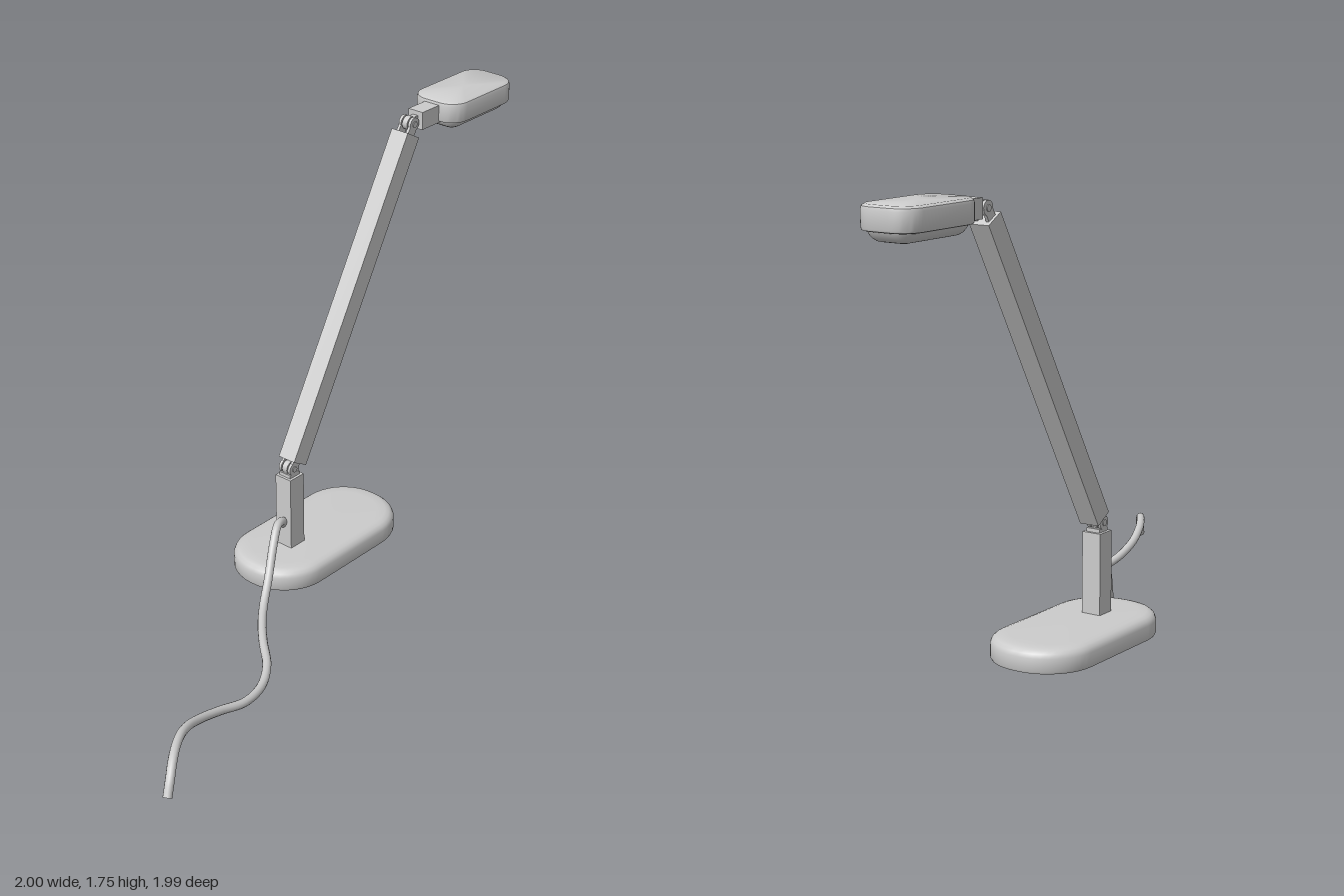
import * as THREE from 'three';
import { toCreasedNormals } from 'three/addons/utils/BufferGeometryUtils.js';

const material = new THREE.MeshStandardMaterial({ color: 0xcccccc, side: THREE.DoubleSide });

function add(parent, name, geometry, x = 0, y = 0, z = 0) {
  const mesh = new THREE.Mesh(geometry, material);
  mesh.name = name;
  mesh.position.set(x, y, z);
  parent.add(mesh);
  return mesh;
}

// Lofts rounded rectangles: corner centres at (±p, ±q), levels [cornerRadius, y] from bottom to top
function roundedLoft(p, q, levels, closedBottom) {
  const steps = 10, n = 4 * (steps + 1), pos = [], index = [];
  for (const [r, y] of levels) {
    for (let c = 0; c < 4; c++) {
      const sx = c === 0 || c === 3 ? 1 : -1, sz = c < 2 ? 1 : -1;
      for (let k = 0; k <= steps; k++) {
        const a = (c + k / steps) * Math.PI / 2;
        pos.push(sx * p + r * Math.cos(a), y, sz * q + r * Math.sin(a));
      }
    }
  }
  const last = levels.length - 1, top = levels.length * n, bottom = top + 1;
  pos.push(0, levels[last][1], 0, 0, levels[0][1], 0);
  for (let j = 0; j < n; j++) {
    const k = (j + 1) % n;
    for (let i = 0; i < last; i++) {
      const a = i * n + j, b = i * n + k;
      index.push(a, a + n, b, a + n, b + n, b);
    }
    index.push(top, last * n + k, last * n + j);
    if (closedBottom) index.push(bottom, j, k);
  }
  const g = new THREE.BufferGeometry();
  g.setAttribute('position', new THREE.Float32BufferAttribute(pos, 3));
  g.setIndex(index);
  return toCreasedNormals(g, 0.6);
}

// Flat hinge tab with a round end on the pivot, pointing along the given angle
function hingeTab(parent, angle, length, z, thickness) {
  const tab = new THREE.Group();
  tab.name = 'hingeTab';
  tab.rotation.z = angle;
  tab.position.z = z;
  add(tab, 'tabPlate', new THREE.BoxGeometry(length, 0.042, thickness), length / 2);
  add(tab, 'tabEye', new THREE.CylinderGeometry(0.027, 0.027, thickness, 20)).rotation.x = Math.PI / 2;
  parent.add(tab);
}

// Fork on one side, single tongue on the other, pin through both
function hinge(parent, name, x, y, forkAngle, tongueAngle, forkLength, tongueLength) {
  const g = new THREE.Group();
  g.name = name;
  g.position.set(x, y, 0);
  for (const s of [-1, 1]) hingeTab(g, forkAngle, forkLength, s * 0.023, 0.012);
  hingeTab(g, tongueAngle, tongueLength, 0, 0.024);
  add(g, 'hingePin', new THREE.CylinderGeometry(0.012, 0.012, 0.066, 16)).rotation.x = Math.PI / 2;
  parent.add(g);
}

export function createModel() {
  const model = new THREE.Group();
  model.name = 'deskLamp';

  // Everything but the cable lies along one turned axis
  const lamp = new THREE.Group();
  lamp.name = 'lamp';
  lamp.position.set(0.005, 0, -0.37);
  lamp.rotation.y = Math.PI / 6;
  model.add(lamp);

  // Hollow base, open below
  add(lamp, 'base', roundedLoft(0.19, 0.01,
    [[0.186, 0.042], [0.19, 0.05], [0.19, 0.098], [0.184, 0.113], [0.172, 0.123], [0.155, 0.128], [0.12, 0.13]], false));

  // Post with a collar
  const postX = -0.147;
  add(lamp, 'post', new THREE.BoxGeometry(0.078, 0.32, 0.078), postX, 0.28, 0);
  add(lamp, 'postCollar', new THREE.BoxGeometry(0.056, 0.016, 0.056), postX, 0.446, 0);

  // Arm leaning 30 degrees from upright
  const arm = add(lamp, 'arm', new THREE.BoxGeometry(0.08, 1.35, 0.08), 0.208, 1.078, 0);
  arm.rotation.z = -Math.PI / 6;
  const armAngle = Math.PI / 3;
  hinge(lamp, 'lowerHinge', postX - 0.003, 0.474, armAngle, -Math.PI / 2, 0.05, 0.03);
  hinge(lamp, 'upperHinge', 0.566, 1.699, armAngle + Math.PI, 0, 0.05, 0.05);

  // Neck and head
  add(lamp, 'neck', new THREE.BoxGeometry(0.115, 0.072, 0.07), 0.663, 1.702, 0);
  add(lamp, 'head', roundedLoft(0.121, 0.036,
    [[0.068, 1.668], [0.077, 1.671], [0.08, 1.678], [0.08, 1.738], [0.077, 1.748], [0.066, 1.755]], true), 0.908);
  add(lamp, 'lens', roundedLoft(0.121, 0.036,
    [[0.015, 1.631], [0.028, 1.634], [0.043, 1.643], [0.055, 1.657], [0.06, 1.67]], true), 0.908);

  // Cable trailing from the back of the post
  const path = [
    [-0.15, 0.22, -0.29], [-0.165, 0.25, -0.265], [-0.2, 0.262, -0.22], [-0.235, 0.215, -0.165],
    [-0.28, 0.12, -0.09], [-0.33, 0.055, 0], [-0.365, 0.037, 0.09], [-0.395, 0.03, 0.2],
    [-0.425, 0.023, 0.34], [-0.48, 0.018, 0.45], [-0.57, 0.028, 0.54], [-0.68, 0.055, 0.595],
    [-0.78, 0.09, 0.665], [-0.85, 0.122, 0.74], [-0.9, 0.136, 0.82], [-0.94, 0.125, 0.9],
    [-0.965, 0.085, 0.95], [-0.985, 0.03, 0.98],
  ].map((v) => new THREE.Vector3(...v));
  add(model, 'cable', new THREE.TubeGeometry(new THREE.CatmullRomCurve3(path), 90, 0.017, 12));

  return model;
}
